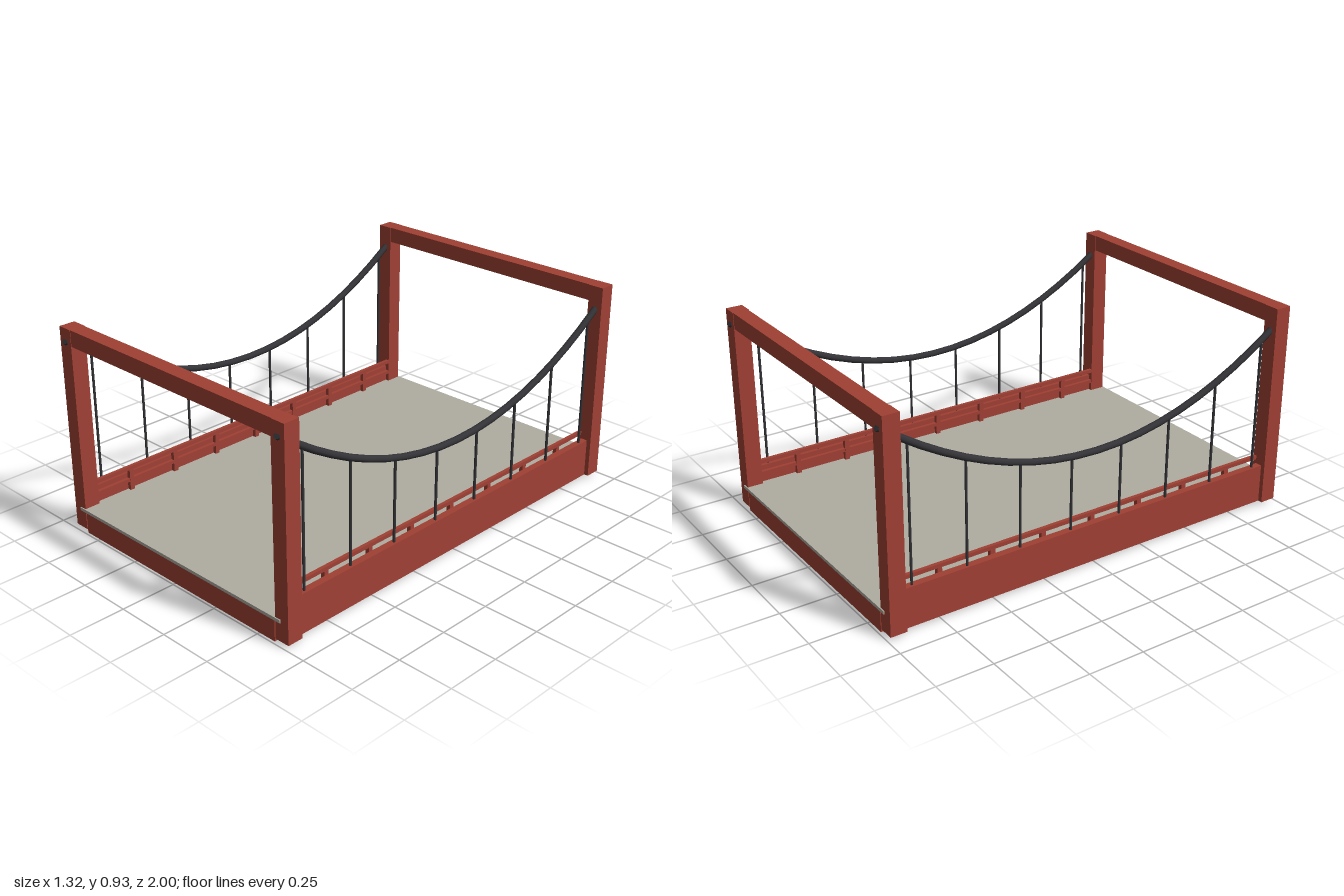
import * as THREE from 'three';

export function createModel() {
  const model = new THREE.Group();
  model.name = 'suspensionBridgeSpan';

  const redSteel = new THREE.MeshStandardMaterial({ color: 0xa04034 });
  redSteel.name = 'red steel';
  const concrete = new THREE.MeshStandardMaterial({ color: 0xb0aca2 });
  concrete.name = 'pale concrete';
  const darkCable = new THREE.MeshStandardMaterial({ color: 0x343438 });
  darkCable.name = 'dark cable';

  const add = (name, geometry, material) => {
    const mesh = new THREE.Mesh(geometry, material);
    mesh.name = name;
    model.add(mesh);
    return mesh;
  };
  // Box given by its low and high corners
  const box = (name, [x0, y0, z0], [x1, y1, z1], material = redSteel) => {
    const g = new THREE.BoxGeometry(Math.abs(x1 - x0), y1 - y0, Math.abs(z1 - z0));
    add(name, g, material).position.set((x0 + x1) / 2, (y0 + y1) / 2, (z0 + z1) / 2);
  };

  const cableX = 0.625, cableR = 0.015;
  const cableY = (z) => 0.512 + 0.37 * z * z;

  // Deck: red base with a thin road slab on top
  box('deckBase', [-0.585, 0, -0.988], [0.585, 0.1, 0.988]);
  box('roadSlab', [-0.62, 0.098, -0.993], [0.62, 0.112, 0.993], concrete);

  // Portal frames at both ends
  for (const e of [-1, 1]) {
    for (const s of [-1, 1]) {
      box('towerPost', [s * 0.59, 0.015, e * 0.915], [s * 0.66, 0.93, e * 0.988]);
    }
    box('portalBeam', [-0.59, 0.858, e * 0.918], [0.59, 0.93, e * 0.986]);
  }

  for (const s of [-1, 1]) {
    // Outer girder
    box('sideGirder', [s * 0.608, 0.015, -0.916], [s * 0.64, 0.19, 0.916]);

    // Railing inside the girder
    box('topRail', [s * 0.591, 0.208, -0.92], [s * 0.607, 0.225, 0.92]);
    box('midRail', [s * 0.591, 0.152, -0.92], [s * 0.607, 0.168, 0.92]);
    for (let i = -3; i <= 3; i++) {
      const z = i * 0.245;
      box('railPost', [s * 0.59, 0.11, z - 0.011], [s * 0.608, 0.21, z + 0.011]);
    }

    // Sagging main cable
    const points = [];
    for (let i = 0; i <= 16; i++) {
      const z = -0.991 + (1.982 * i) / 16;
      points.push(new THREE.Vector3(s * cableX, cableY(z), z));
    }
    const curve = new THREE.CatmullRomCurve3(points);
    add('mainCable', new THREE.TubeGeometry(curve, 20, cableR, 8), darkCable);

    // Cable end caps
    for (const t of [0, 1]) {
      const cap = add('cableEnd', new THREE.CircleGeometry(cableR, 8), darkCable);
      cap.position.copy(curve.getPoint(t));
      const out = curve.getTangent(t).multiplyScalar(t ? 1 : -1);
      cap.quaternion.setFromUnitVectors(new THREE.Vector3(0, 0, 1), out);
    }

    // Vertical hangers
    for (let i = 0; i < 8; i++) {
      const z = -0.87 + (1.74 * i) / 7;
      const h = cableY(z) - 0.18;
      add('hanger', new THREE.CylinderGeometry(0.006, 0.006, h, 6), darkCable)
        .position.set(s * cableX, 0.18 + h / 2, z);
    }
  }
  return model;
}
